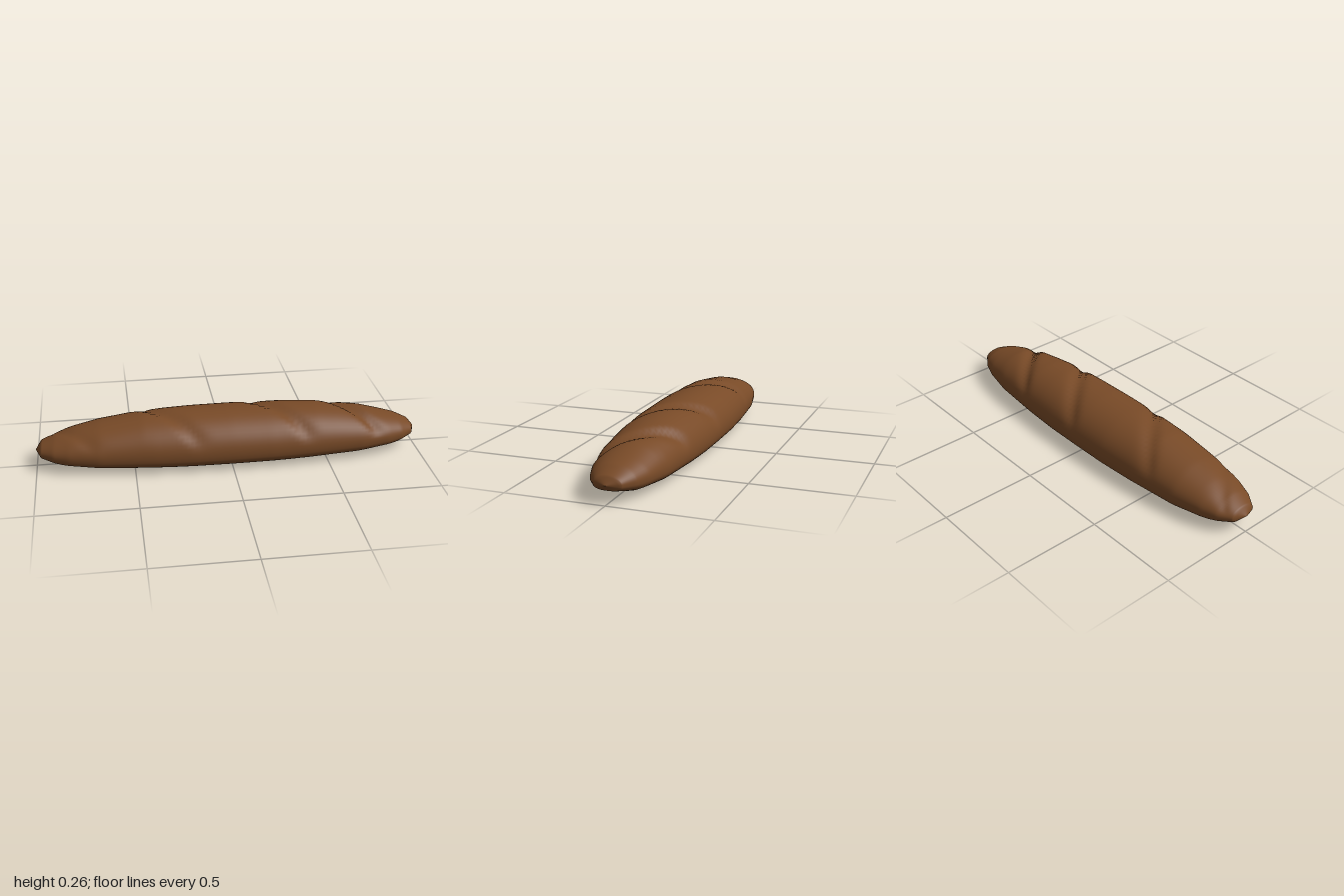
import * as THREE from 'three';
import { mergeVertices } from 'three/addons/utils/BufferGeometryUtils.js';

const MID = 0.095; // height of the widest line

// Outline tables: [x, value]
const TOP = [[-1, 0], [-0.97, 0.04], [-0.9, 0.07], [-0.8, 0.1], [-0.67, 0.13], [-0.45, 0.162], [-0.2, 0.171],
  [0, 0.173], [0.15, 0.17], [0.3, 0.168], [0.45, 0.16], [0.55, 0.147], [0.72, 0.12], [0.9, 0.07], [0.97, 0.037], [1, 0]];
const BOTTOM = [[0, 0.092], [0.3, 0.09], [0.65, 0.08], [0.87, 0.06], [0.97, 0.032], [1, 0]];
const WIDTH = [[0, 0.211], [0.2, 0.21], [0.4, 0.2], [0.68, 0.175], [0.83, 0.143], [0.91, 0.113], [0.975, 0.068], [1, 0]];

// Diagonal slashes: position along the loaf and depth
const SLASHES = [[-0.85, 0.007], [-0.36, 0.016], [0.215, 0.02], [0.625, 0.022]];
const SLANT = 0.9;

function sample(table, x) {
  for (let i = 1; i < table.length; i++) {
    const [x0, v0] = table[i - 1], [x1, v1] = table[i];
    if (x <= x1) return v0 + (v1 - v0) * Math.max(0, (x - x0) / (x1 - x0));
  }
  return table[table.length - 1][1];
}

// Depth of the cuts: steep on the low-x side, gentle on the other
function slashDepth(x, z) {
  let depth = 0;
  for (const [centre, d] of SLASHES) {
    const u = x - SLANT * z - centre;
    const spread = u < 0 ? 0.03 : 0.05;
    depth += d * Math.exp(-((u / spread) ** 2));
  }
  return depth;
}

function loafGeometry() {
  const geo = new THREE.SphereGeometry(1, 48, 140);
  geo.rotateZ(-Math.PI / 2); // poles at the two ends
  const p = geo.attributes.position;
  for (let i = 0; i < p.count; i++) {
    const x = THREE.MathUtils.clamp(p.getX(i), -1, 1);
    const a = Math.atan2(p.getY(i), p.getZ(i));
    const s = Math.sin(a), c = Math.cos(a);
    const w = sample(WIDTH, Math.abs(x));
    let y, z;
    if (s >= 0) {
      // Domed crust
      z = w * c;
      y = sample(TOP, x) * s;
      const cut = slashDepth(x, z) * THREE.MathUtils.smoothstep(s, 0.1, 0.7);
      y -= Math.min(cut, y * 0.3) * s;
      z -= cut * c * 0.7;
    } else {
      // Flattened base
      z = w * Math.sign(c) * Math.abs(c) ** 0.74;
      y = -sample(BOTTOM, Math.abs(x)) * Math.abs(s) ** 0.74;
    }
    p.setXYZ(i, x, MID - 0.003 + y, z);
  }
  // Weld the seam so that shading is smooth all round
  geo.deleteAttribute('uv');
  geo.deleteAttribute('normal');
  const welded = mergeVertices(geo, 1e-5);
  welded.computeVertexNormals();
  return welded;
}

export function createModel() {
  const group = new THREE.Group();
  group.name = 'breadLoaf';
  const crust = new THREE.MeshStandardMaterial({ color: 0x784a27 });
  crust.name = 'brown crust';
  const loaf = new THREE.Mesh(loafGeometry(), crust);
  loaf.name = 'loaf';
  group.add(loaf);
  return group;
}
